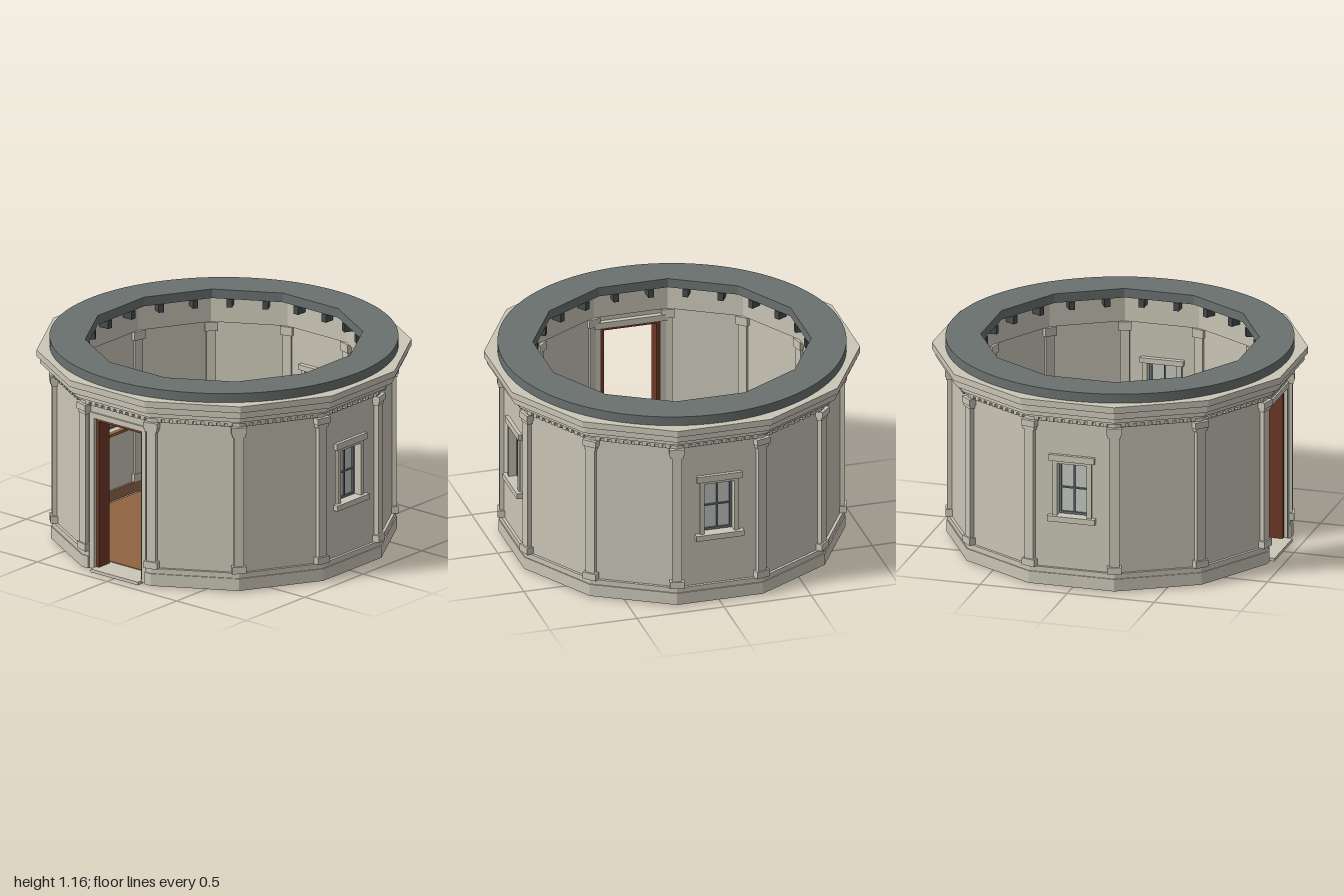
import * as THREE from 'three';
import { toCreasedNormals } from 'three/addons/utils/BufferGeometryUtils.js';

const SIDES = 12;
const STEP = (Math.PI * 2) / SIDES;
const T = Math.tan(STEP / 2); // half side length per unit of apothem

function mat(name, color) {
  const m = new THREE.MeshStandardMaterial({ color });
  m.name = name;
  return m;
}
const stone = mat('cream stone', 0xcac6b7);
const slate = mat('slate grey', 0x69716f);
const iron = mat('dark bracket', 0x454b4c);
const frameGrey = mat('window frame grey', 0x66727a);
const glass = mat('pale glass', 0xc3c7c1);
const floorWood = mat('floor wood', 0x8f6440);
const skirtWood = mat('skirting wood', 0x94694c);
const doorWood = mat('red brown wood', 0x6e3826);

function add(parent, name, geo, material) {
  const m = new THREE.Mesh(geo, material);
  m.name = name;
  parent.add(m);
  return m;
}

// Box given by its limits on each axis
function block(parent, name, material, x0, x1, y0, y1, z0, z1) {
  const m = add(parent, name, new THREE.BoxGeometry(x1 - x0, y1 - y0, z1 - z0), material);
  m.position.set((x0 + x1) / 2, (y0 + y1) / 2, (z0 + z1) / 2);
  return m;
}

function rectPath(x0, x1, y0, y1, Type = THREE.Shape) {
  const p = new Type();
  p.moveTo(x0, y0);
  p.lineTo(x1, y0);
  p.lineTo(x1, y1);
  p.lineTo(x0, y1);
  p.closePath();
  return p;
}

// One side of the twelve-sided wall, with its ends mitred to meet its neighbours
function panel(parent, name, material, shape, inner, outer) {
  const geo = new THREE.ExtrudeGeometry(shape, { depth: outer - inner, bevelEnabled: false });
  geo.translate(0, 0, inner);
  const p = geo.attributes.position;
  for (let i = 0; i < p.count; i++) {
    const x = p.getX(i);
    if (Math.abs(x) > outer * T - 1e-4) p.setX(i, Math.sign(x) * p.getZ(i) * T);
  }
  geo.computeVertexNormals();
  return add(parent, name, geo, material);
}

// Closed profile of [apothem, y] points swept round the twelve sides
function ring(parent, name, material, profile) {
  const k = 1 / Math.cos(STEP / 2);
  const pts = [...profile, profile[0]].map(([a, y]) => new THREE.Vector2(a * k, y));
  const geo = new THREE.LatheGeometry(pts, SIDES, STEP / 2);
  return add(parent, name, toCreasedNormals(geo, 0.2), material);
}

const IN = 0.81, OUT = 0.9;

function windowUnit(side) {
  const g = new THREE.Group();
  g.name = 'window';
  side.add(g);
  // stone surround, outside and inside
  for (const s of [-1, 1]) {
    const a = s < 0 ? -0.112 : 0.085, b = a + 0.027;
    block(g, 'outerSurround', stone, a, b, 0.415, 0.735, 0.88, 0.912);
    block(g, 'innerSurround', stone, a, b, 0.415, 0.735, 0.79, 0.82);
  }
  block(g, 'outerLintel', stone, -0.13, 0.13, 0.735, 0.772, 0.88, 0.92);
  block(g, 'outerLintelSoffit', stone, -0.112, 0.112, 0.72, 0.736, 0.88, 0.912);
  block(g, 'outerSill', stone, -0.137, 0.137, 0.385, 0.417, 0.87, 0.932);
  block(g, 'innerLintel', stone, -0.125, 0.125, 0.725, 0.755, 0.78, 0.82);
  block(g, 'innerSill', floorWood, -0.108, 0.108, 0.402, 0.417, 0.78, 0.83);
  // sash with glazing bars
  const sash = rectPath(-0.09, 0.09, 0.415, 0.725);
  for (const [x0, x1] of [[-0.072, -0.004], [0.004, 0.072]])
    for (const [y0, y1] of [[0.43, 0.566], [0.574, 0.71]])
      sash.holes.push(rectPath(x0, x1, y0, y1, THREE.Path));
  const sg = new THREE.ExtrudeGeometry(sash, { depth: 0.025, bevelEnabled: false });
  sg.translate(0, 0, 0.842);
  add(g, 'sash', sg, frameGrey);
  block(g, 'pane', glass, -0.08, 0.08, 0.42, 0.72, 0.852, 0.857);
}

function doorway(side) {
  const g = new THREE.Group();
  g.name = 'doorway';
  side.add(g);
  // stone architrave around the opening
  for (const s of [-1, 1]) {
    const a = s < 0 ? -0.202 : 0.17;
    block(g, 'architrave', stone, a, a + 0.032, 0.01, 0.92, 0.88, 0.91);
    block(g, 'innerArchitrave', stone, a, a + 0.032, 0.02, 0.92, 0.79, 0.82);
    const j = s < 0 ? -0.17 : 0.15;
    block(g, 'doorJamb', doorWood, j, j + 0.02, 0.018, 0.888, 0.80, 0.89);
  }
  block(g, 'architraveHead', stone, -0.17, 0.17, 0.888, 0.92, 0.88, 0.91);
  block(g, 'innerHead', stone, -0.21, 0.21, 0.888, 0.925, 0.78, 0.82);
  block(g, 'doorHead', doorWood, -0.15, 0.15, 0.868, 0.888, 0.80, 0.89);
  block(g, 'threshold', stone, -0.17, 0.17, 0, 0.018, 0.77, 0.94);
}

export function createModel() {
  const model = new THREE.Group();
  model.name = 'roundRoom';

  for (let i = 0; i < SIDES; i++) {
    const side = new THREE.Group();
    side.name = 'side' + i;
    side.rotation.y = i * STEP;
    model.add(side);
    const isDoor = i === 0, isWindow = i === 3 || i === 6 || i === 9;

    // wall panel
    const w = OUT * T;
    let wall = rectPath(-w, w, 0.01, 1.03);
    if (isDoor) {
      wall = new THREE.Shape([
        [-w, 0.01], [-0.17, 0.01], [-0.17, 0.888], [0.17, 0.888],
        [0.17, 0.01], [w, 0.01], [w, 1.03], [-w, 1.03],
      ].map(([x, y]) => new THREE.Vector2(x, y)));
    }
    if (isWindow) wall.holes.push(rectPath(-0.085, 0.085, 0.417, 0.722, THREE.Path));
    panel(side, 'wall', stone, wall, IN, OUT);

    // plinth in two courses, broken at the doorway
    for (const [y0, y1, a] of [[0.01, 0.08, 0.922], [0.08, 0.11, 0.916]]) {
      const e = a * T;
      const spans = isDoor ? [[-e, -0.202], [0.202, e]] : [[-e, e]];
      for (const [x0, x1] of spans) panel(side, 'plinth', stone, rectPath(x0, x1, y0, y1), OUT - 0.01, a);
    }

    // skirting inside
    if (!isDoor) {
      const e = 0.805 * T;
      panel(side, 'skirting', skirtWood, rectPath(-e, e, 0.02, 0.08), 0.79, 0.805);
    }

    // dentils under the cornice
    for (let k = 0; k < 10; k++) {
      const x = (k - 4.5) * 0.044;
      block(side, 'dentil', stone, x - 0.012, x + 0.012, 0.97, 0.995, 0.9, 0.934);
    }

    // brackets under the roof ring
    for (const x of [-0.1, 0.1]) block(side, 'bracket', iron, x - 0.016, x + 0.016, 1.065, 1.112, 0.734, 0.8);

    if (isDoor) doorway(side);
    if (isWindow) windowUnit(side);

    // corner pilasters, outside and inside
    const corner = new THREE.Group();
    corner.name = 'pilaster';
    corner.rotation.y = (i + 0.5) * STEP;
    model.add(corner);
    block(corner, 'shaft', stone, -0.028, 0.028, 0.11, 0.95, 0.9, 0.95);
    block(corner, 'base', stone, -0.04, 0.04, 0.11, 0.15, 0.9, 0.96);
    block(corner, 'capital', stone, -0.036, 0.036, 0.905, 0.93, 0.9, 0.955);
    block(corner, 'capitalTop', stone, -0.042, 0.042, 0.925, 0.962, 0.9, 0.962);
    block(corner, 'innerShaft', stone, -0.026, 0.026, 0.08, 0.95, 0.815, 0.86);
    block(corner, 'innerBase', stone, -0.036, 0.036, 0.08, 0.125, 0.808, 0.86);
    block(corner, 'innerCapital', stone, -0.036, 0.036, 0.905, 0.955, 0.805, 0.86);
  }

  // stepped cornice with its inner frieze
  ring(model, 'cornice', stone, [
    [0.795, 0.955], [0.81, 0.955], [0.81, 1.0], [0.9, 1.0], [0.9, 0.962], [0.914, 0.962],
    [0.914, 0.988], [0.935, 0.988], [0.935, 1.0], [0.945, 1.0], [0.945, 1.03],
    [0.982, 1.035], [0.982, 1.07], [1.0, 1.075], [1.0, 1.112], [0.795, 1.112],
  ]);

  // roof ring: round outside, twelve-sided inside
  const roof = new THREE.Shape();
  roof.absarc(0, 0, 0.96, 0, Math.PI * 2, false);
  const R = 0.74 / Math.cos(STEP / 2);
  const hole = [];
  for (let i = 0; i < SIDES; i++) {
    const a = -(i + 0.5) * STEP;
    hole.push(new THREE.Vector2(Math.cos(a) * R, Math.sin(a) * R));
  }
  roof.holes.push(new THREE.Path(hole));
  const roofGeo = new THREE.ExtrudeGeometry(roof, { depth: 0.053, bevelEnabled: false, curveSegments: 48 });
  roofGeo.rotateX(-Math.PI / 2);
  roofGeo.translate(0, 1.112, 0);
  add(model, 'roofRing', toCreasedNormals(roofGeo, 0.3), slate);

  // floor
  const fr = 0.78 / Math.cos(STEP / 2);
  const floor = add(model, 'floor', new THREE.CylinderGeometry(fr, fr, 0.01, SIDES, 1, false, STEP / 2), floorWood);
  floor.geometry = toCreasedNormals(floor.geometry, 0.2);
  floor.position.y = 0.017;

  return model;
}
